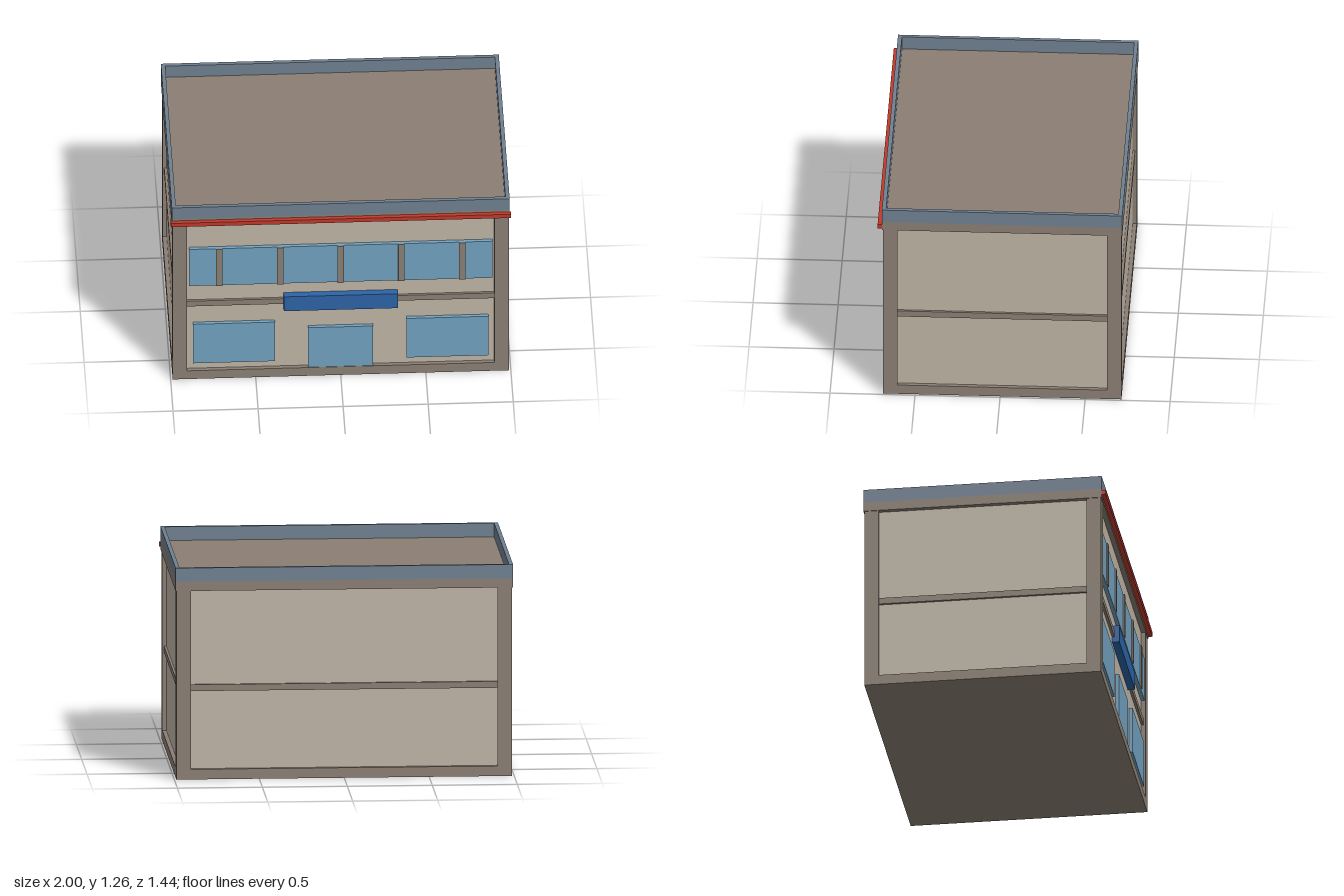
import * as THREE from 'three';

const material = (color) => new THREE.MeshStandardMaterial({ color, flatShading: true });

export function createModel() {
  const model = new THREE.Group();
  const frame = material(0x8b7f74);
  const wall = material(0xbfb5a6);
  const glass = material(0x72a2c0);
  const slate = material(0x708090);
  const blue = material(0x2c64a6);
  const red = material(0xc0392b);

  // Box given by its minimum and maximum on each axis
  const box = (name, mat, [x0, x1], [y0, y1], [z0, z1]) => {
    const mesh = new THREE.Mesh(new THREE.BoxGeometry(x1 - x0, y1 - y0, z1 - z0), mat);
    mesh.position.set((x0 + x1) / 2, (y0 + y1) / 2, (z0 + z1) / 2);
    mesh.name = name;
    model.add(mesh);
  };

  const X = 0.988, FRONT = 0.69, BACK = -0.713;
  const BASE = 0.06, EAVES = 1.125, ROOF = 1.18, TOP = 1.262;
  const COLUMN = 0.085, RECESS = 0.025;
  const WALL_FRONT = FRONT - RECESS;

  // Base, recessed walls and the band between the floors
  box('baseSlab', frame, [-X, X], [0, BASE], [BACK, FRONT]);
  box('walls', wall, [-X + RECESS, X - RECESS], [BASE, EAVES], [BACK + RECESS, WALL_FRONT]);
  box('floorBand', frame, [-X + 0.01, X - 0.01], [0.525, 0.563], [BACK + 0.01, FRONT - 0.01]);

  // Corner columns
  for (const x of [-X, X - COLUMN]) {
    for (const z of [BACK, FRONT - COLUMN]) {
      box('cornerColumn', frame, [x, x + COLUMN], [BASE, EAVES], [z, z + COLUMN]);
    }
  }

  // Roof slab with a hollow parapet on it
  const RX = 0.993, RF = 0.695, RB = -0.718, RIM = 0.024;
  box('roofSlab', frame, [-RX, RX], [EAVES, ROOF], [RB, RF]);
  const rectangle = (Type, inset) => new Type([
    new THREE.Vector2(-RX + inset, -RF + inset),
    new THREE.Vector2(RX - inset, -RF + inset),
    new THREE.Vector2(RX - inset, -RB - inset),
    new THREE.Vector2(-RX + inset, -RB - inset),
  ]);
  const outline = rectangle(THREE.Shape, 0);
  outline.holes.push(rectangle(THREE.Path, RIM));
  const parapet = new THREE.Mesh(
    new THREE.ExtrudeGeometry(outline, { depth: TOP - ROOF, bevelEnabled: false }), slate);
  parapet.rotation.x = -Math.PI / 2;
  parapet.position.y = ROOF;
  parapet.name = 'parapet';
  model.add(parapet);

  // Red trim along the front of the roof
  box('roofTrim', red, [-1, 1], [1.14, 1.167], [RF, 0.72]);

  // Upper window strip with mullions
  const GLASS_FRONT = 0.687;
  box('upperWindow', glass, [-0.892, 0.892], [0.68, 0.948], [WALL_FRONT, GLASS_FRONT]);
  for (let i = -2; i <= 2; i++) {
    const x = i * 0.357;
    box('mullion', frame, [x - 0.019, x + 0.019], [0.68, 0.948], [WALL_FRONT, 0.696]);
  }

  // Ground floor windows, door and sign board
  box('leftWindow', glass, [0.387, 0.868], [0.112, 0.398], [WALL_FRONT, GLASS_FRONT]);
  box('rightWindow', glass, [-0.868, -0.387], [0.112, 0.398], [WALL_FRONT, GLASS_FRONT]);
  box('door', glass, [-0.191, 0.191], [BASE, 0.35], [WALL_FRONT, GLASS_FRONT]);
  box('signBoard', blue, [-0.335, 0.335], [0.492, 0.597], [WALL_FRONT, 0.708]);

  return model;
}
